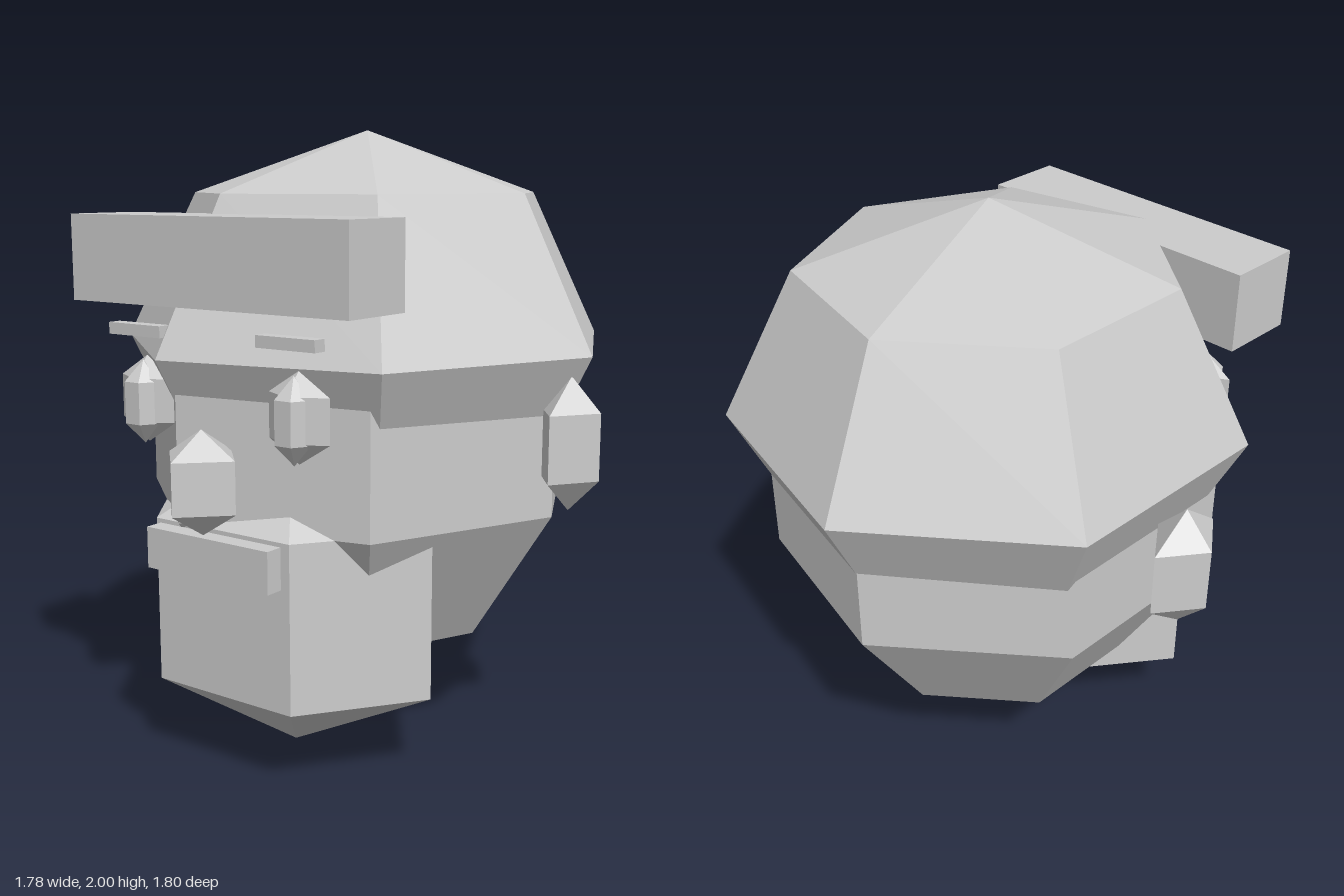
import * as THREE from 'three';

export function createModel() {
  const model = new THREE.Group();
  model.name = 'head';
  const clay = new THREE.MeshStandardMaterial({ color: 0xcccccc, flatShading: true });
  clay.name = 'light grey';

  function add(name, geometry, [x, y, z]) {
    const mesh = new THREE.Mesh(geometry, clay);
    mesh.name = name;
    mesh.position.set(x, y, z);
    model.add(mesh);
    return mesh;
  }
  // Faceted ball with a corner on +x; radii are those of the full ellipsoid
  function ball(name, sides, rings, radii, position) {
    const g = new THREE.SphereGeometry(1, sides, rings);
    g.rotateY(Math.PI);
    g.scale(...radii);
    return add(name, g, position);
  }
  function box(name, size, position) {
    return add(name, new THREE.BoxGeometry(...size), position);
  }

  // Cranium, lower head and jaw
  ball('cranium', 7, 4, [0.84, 0.69, 0.85], [0, 1.31, -0.07]);
  ball('lowerHead', 7, 5, [0.77, 0.88, 0.8], [0, 1.072, -0.04]);
  ball('jaw', 6, 3, [0.612, 0.53, 0.475], [0, 0.535, 0.335]);
  ball('nose', 4, 3, [0.15, 0.16, 0.15], [0, 0.963, 0.767]);

  // Paired features
  for (const [side, s] of [['left', 1], ['right', -1]]) {
    ball(side + 'Ear', 4, 3, [0.117, 0.21, 0.16], [s * 0.79, 1.042, -0.035]);
    ball(side + 'Eye', 4, 3, [0.127, 0.135, 0.07], [s * 0.297, 1.175, 0.68]);
    ball(side + 'Pupil', 6, 3, [0.068, 0.13, 0.07], [s * 0.295, 1.168, 0.7]);
    box(side + 'Eyebrow', [0.213, 0.036, 0.045], [s * 0.293, 1.392, 0.715]);
  }

  // Fringe and moustache
  box('fringe', [1.06, 0.265, 0.265], [0, 1.605, 0.625]);
  box('moustache', [0.48, 0.13, 0.06], [0, 0.725, 0.73]);

  return model;
}
